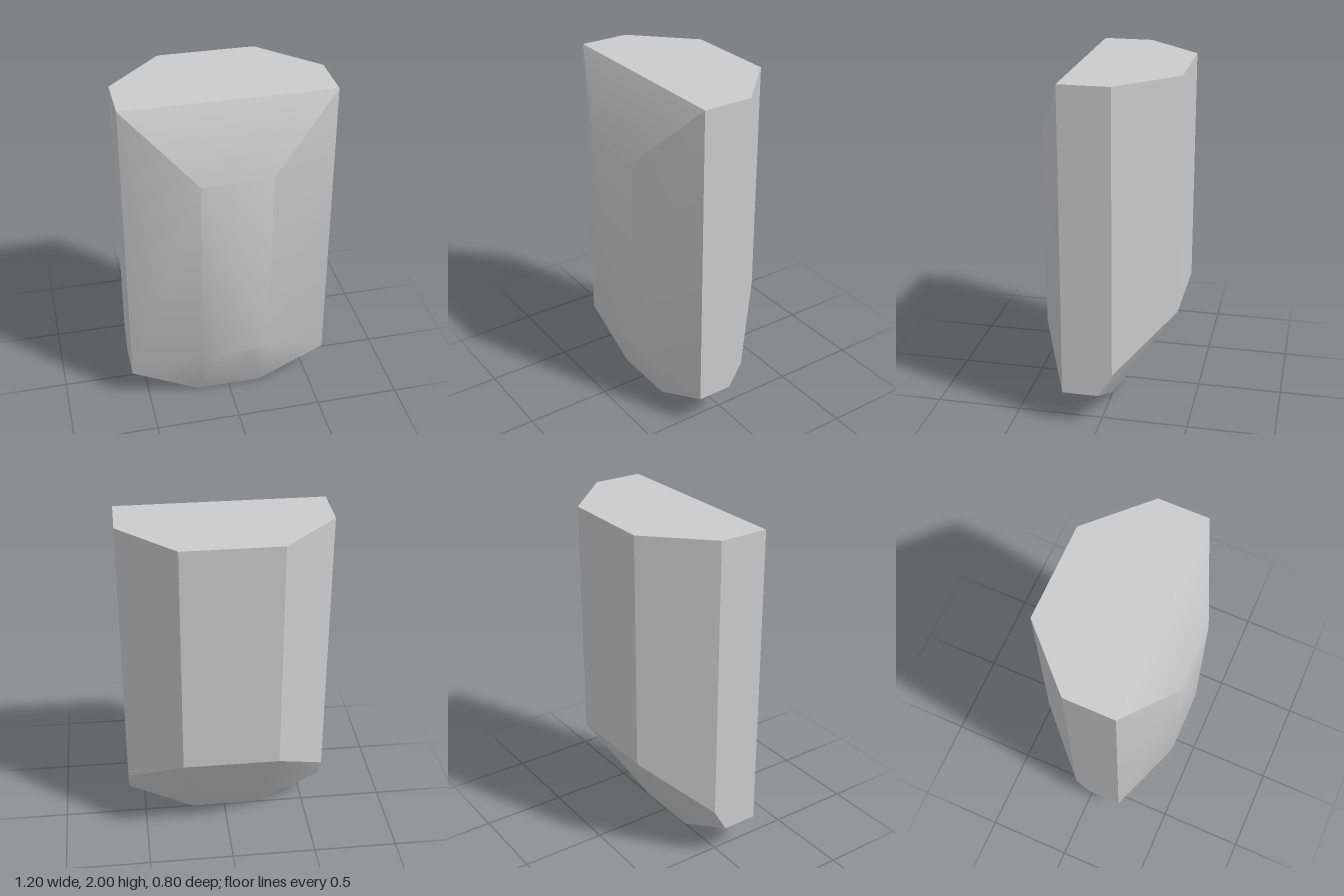
import * as THREE from 'three';
import { ConvexGeometry } from 'three/addons/geometries/ConvexGeometry.js';
import { toCreasedNormals } from 'three/addons/utils/BufferGeometryUtils.js';

// Corners of the left half; each is mirrored to the right
const corners = [
  // flat top
  [0.6, 2, 0.21], [0.6, 2, -0.08], [0.28, 2, -0.4],
  // raised front panel
  [0.2, 1.6, 0.4], [0.2, 0.445, 0.4], [0.1, 0.4, 0.4],
  // lower ends of the side and back walls
  [0.6, 0.2, 0.21], [0.6, 0.2, 0], [0.6, 0.34, -0.08], [0.28, 0.62, -0.4],
  // narrow foot
  [0.2, 0, 0.21], [0.2, 0, 0],
];

export function createModel() {
  const group = new THREE.Group();
  group.name = 'facetedBlock';

  const points = corners.flatMap(([x, y, z]) => [
    new THREE.Vector3(x, y, z),
    new THREE.Vector3(-x, y, z),
  ]);

  // Shallow front edges blend softly, steeper ones stay sharp
  const geometry = toCreasedNormals(new ConvexGeometry(points), 0.5);
  const block = new THREE.Mesh(geometry, new THREE.MeshStandardMaterial({ color: 0xcccccc }));
  block.name = 'block';
  group.add(block);
  return group;
}
